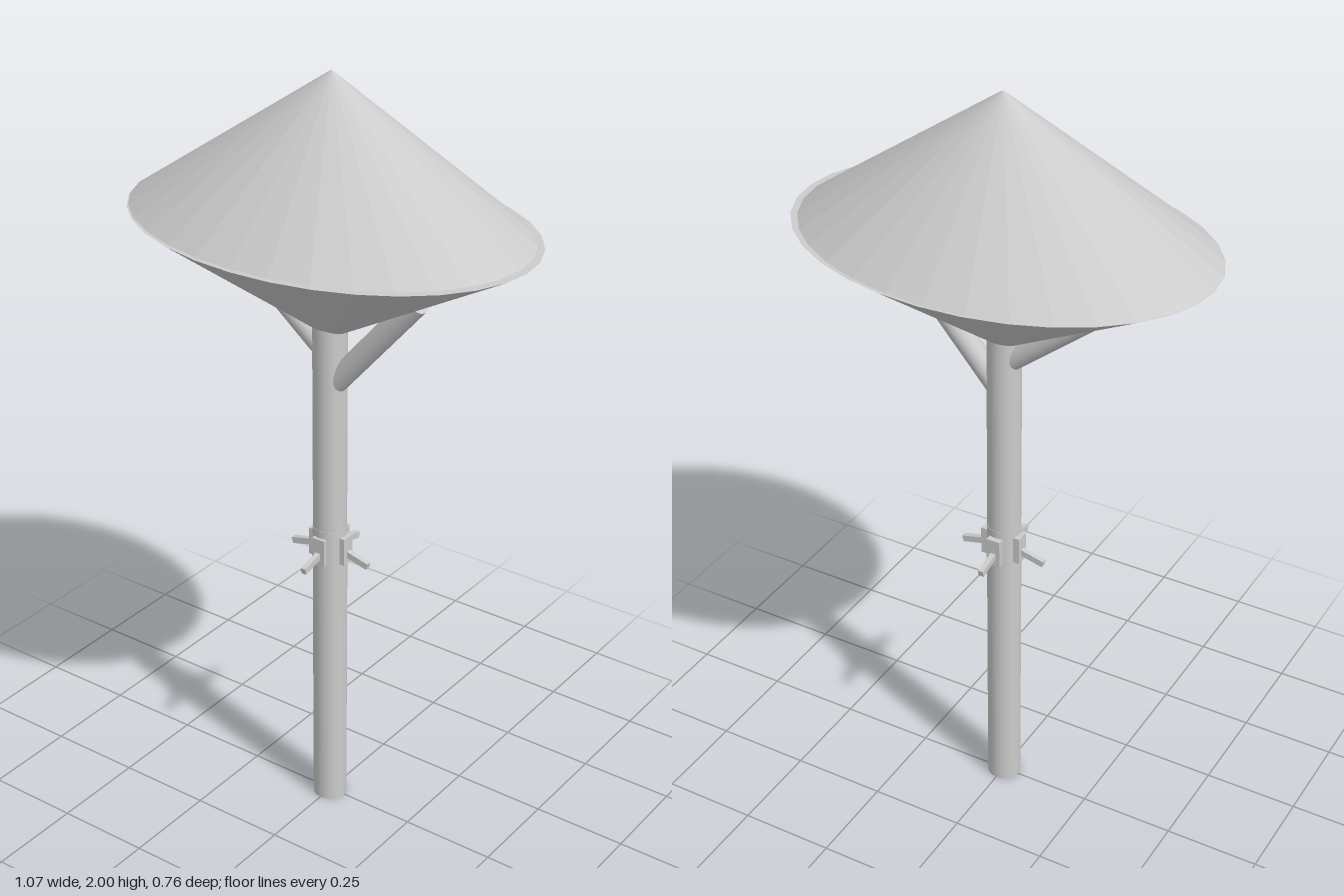
import * as THREE from 'three';

export function createModel() {
  const model = new THREE.Group();
  const smooth = new THREE.MeshStandardMaterial({ color: 0xcccccc });
  const flat = new THREE.MeshStandardMaterial({ color: 0xcccccc, flatShading: true });

  function add(parent, name, geometry, material, x = 0, y = 0, z = 0) {
    const mesh = new THREE.Mesh(geometry, material);
    mesh.name = name;
    mesh.position.set(x, y, z);
    parent.add(mesh);
    return mesh;
  }

  // Round rod between two points
  function rod(parent, name, from, to, radius, sides) {
    const a = new THREE.Vector3(...from), b = new THREE.Vector3(...to);
    const dir = b.clone().sub(a);
    const mesh = add(parent, name, new THREE.CylinderGeometry(radius, radius, dir.length(), sides), smooth);
    mesh.position.copy(a).add(b).multiplyScalar(0.5);
    mesh.quaternion.setFromUnitVectors(new THREE.Vector3(0, 1, 0), dir.normalize());
    return mesh;
  }

  // Pole, in two lengths that meet above the hooks
  rod(model, 'lowerPole', [0, 0, 0.003], [0, 0.82, 0.003], 0.044, 32);
  rod(model, 'upperPole', [0, 0.82, 0.003], [0, 1.42, 0.003], 0.043, 32);

  // Oval canopy: a shallow roof cone on an inverted cone, leaving a thin rim
  const roof = add(model, 'canopyRoof', new THREE.ConeGeometry(1, 0.362, 32), flat, -0.01, 1.819, -0.003);
  roof.geometry.scale(0.526, 1, 0.372);
  // Pull the roof apex back over the pole
  const p = roof.geometry.attributes.position;
  for (let i = 0; i < p.count; i++) if (p.getY(i) > 0.1) p.setX(i, 0.01);
  roof.geometry.computeVertexNormals();

  const under = add(model, 'canopyUnderside', new THREE.ConeGeometry(1, 0.3, 32), flat, 0, 1.486, 0);
  under.geometry.rotateX(Math.PI).scale(0.536, 1, 0.38);

  // Braces between pole and canopy, the right one starting higher
  rod(model, 'leftBrace', [0.018, 1.225, 0.003], [0.25, 1.493, 0.003], 0.03, 24);
  rod(model, 'rightBrace', [-0.01, 1.302, 0.003], [-0.29, 1.529, 0.003], 0.03, 24);

  // Four hooks around the pole, each a plate with a drooping peg
  for (let i = 0; i < 4; i++) {
    const hook = new THREE.Group();
    hook.name = 'hook' + (i + 1);
    hook.rotation.y = i * Math.PI / 2;
    add(hook, 'hookPlate', new THREE.BoxGeometry(0.018, 0.075, 0.037), smooth, 0.046, 0.763, 0);
    const peg = add(hook, 'hookPeg', new THREE.BoxGeometry(0.07, 0.017, 0.014), smooth, 0.082, 0.746, 0);
    peg.rotation.z = -0.24;
    model.add(hook);
  }
  return model;
}
